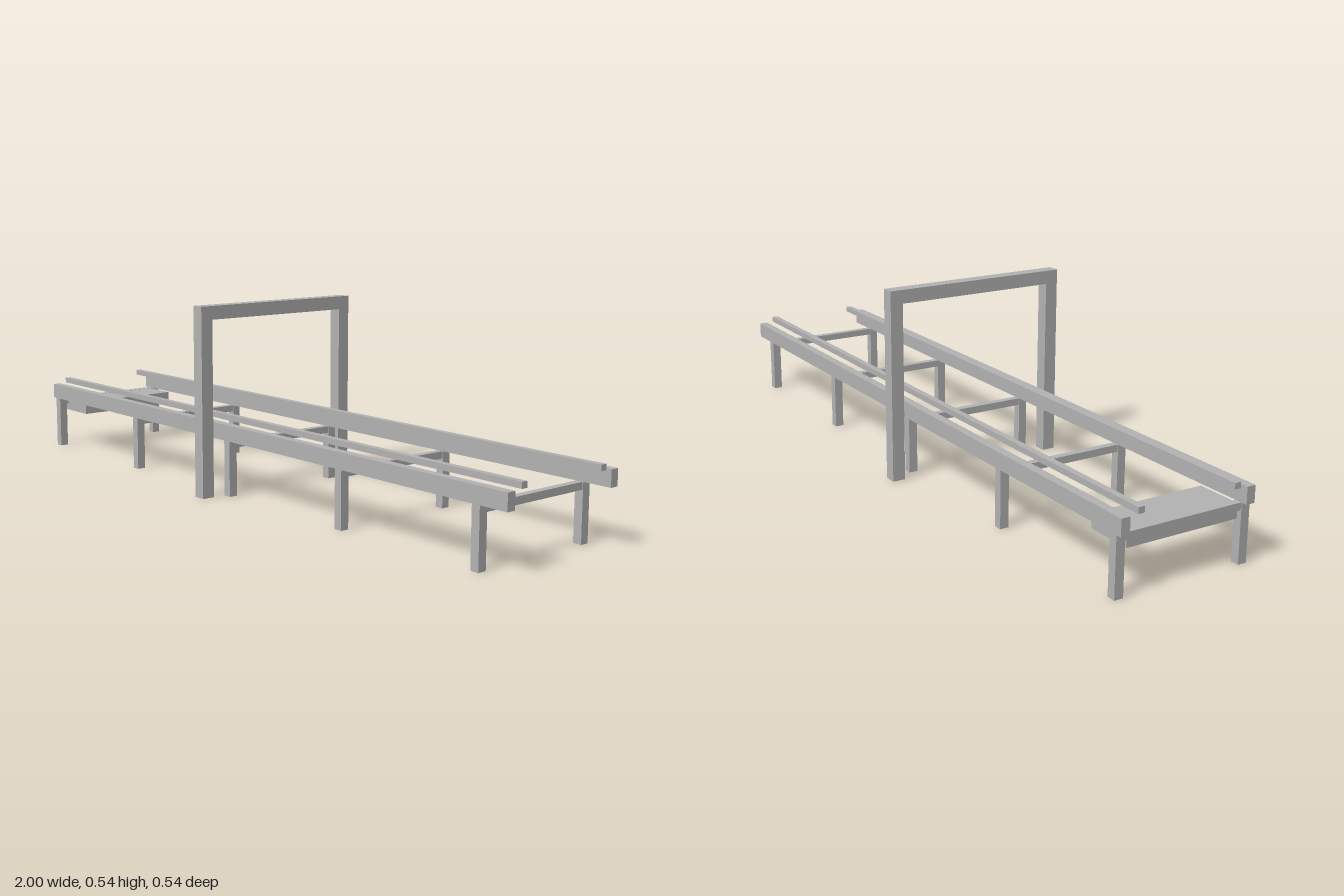
import * as THREE from 'three';

export function createModel() {
  const model = new THREE.Group();
  model.name = 'gantryTable';
  const steel = new THREE.MeshStandardMaterial({ color: 0xb3b3b3 });
  steel.name = 'grey steel';

  // Box given by its minimum and maximum on each axis
  function bar(name, [x0, x1], [y0, y1], [z0, z1], parent = model) {
    const mesh = new THREE.Mesh(new THREE.BoxGeometry(x1 - x0, y1 - y0, z1 - z0), steel);
    mesh.position.set((x0 + x1) / 2, (y0 + y1) / 2, (z0 + z1) / 2);
    mesh.name = name;
    parent.add(mesh);
  }
  const span = (centre, width) => [centre - width / 2, centre + width / 2];

  // Long side beams and the slim guide rails above them
  for (const s of [1, -1]) {
    bar('sideBeam', [-1, 1], [0.158, 0.203], span(s * 0.1835, 0.025));
    bar('guideRail', [-1, 1], [0.204, 0.22], span(s * 0.141, 0.018));
  }

  // Five trestles: two legs joined by a cross bar
  for (let i = 0; i < 5; i++) {
    const x = -0.972 + i * 0.4695;
    const trestle = new THREE.Group();
    trestle.name = 'trestle';
    for (const s of [1, -1]) {
      bar('leg', span(x, 0.0245), [0, 0.158], span(s * 0.1835, 0.025), trestle);
    }
    bar('crossBar', span(x, 0.02), [0.138, 0.158], [-0.171, 0.171], trestle);
    model.add(trestle);
  }

  // Box slung under the right end
  bar('endBox', [-0.979, -0.85], [0.118, 0.1575], [-0.163, 0.163]);

  // Portal frame straddling the middle
  const portal = new THREE.Group();
  portal.name = 'portal';
  const px = span(-0.0655, 0.037);
  for (const s of [1, -1]) bar('portalPost', px, [0, 0.5], span(s * 0.2505, 0.037), portal);
  bar('portalBeam', px, [0.5, 0.538], [-0.269, 0.269], portal);
  model.add(portal);

  return model;
}
